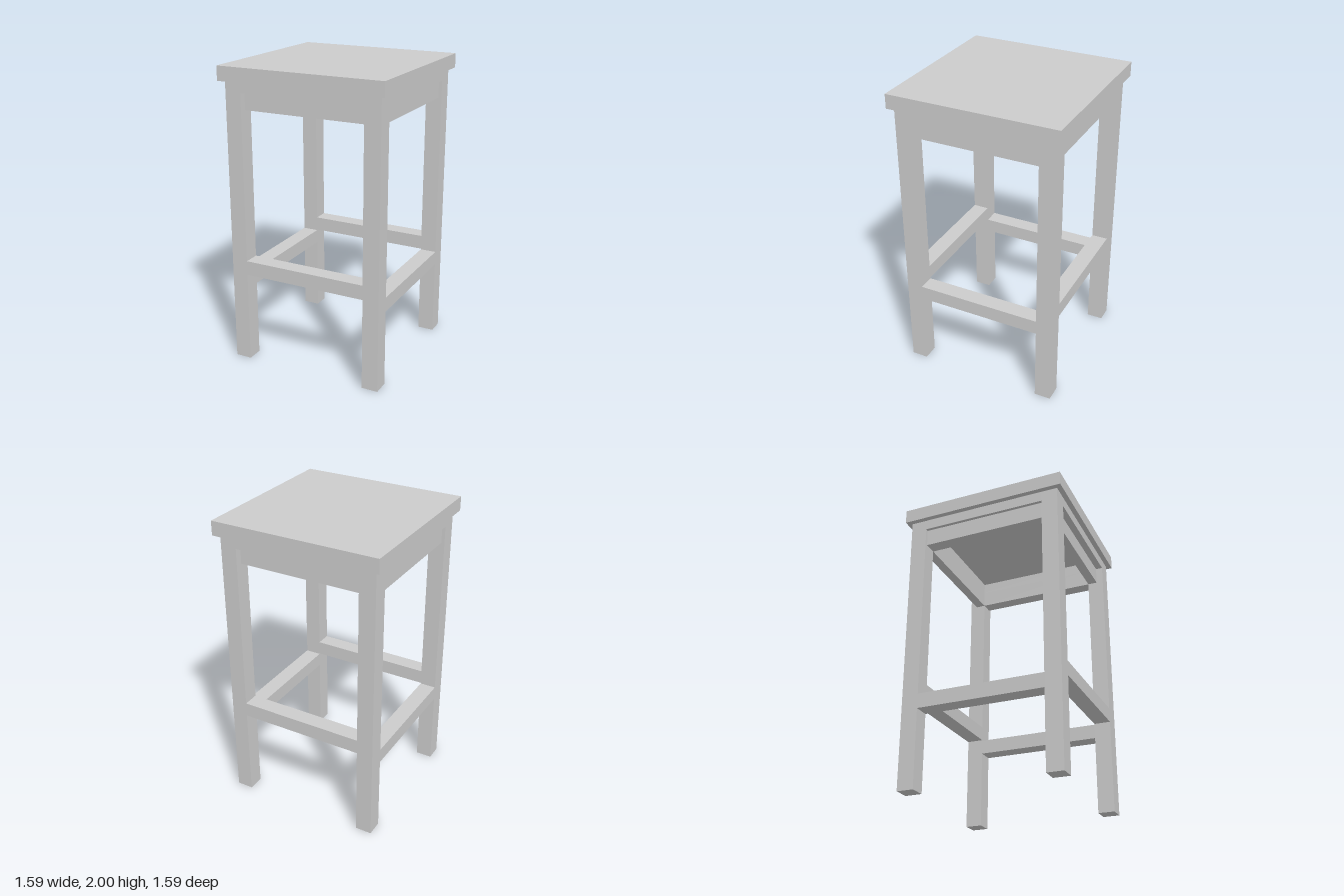
import * as THREE from 'three';

const SEAT = 1.135, SEAT_Y = 1.905;      // seat width and underside height
const OUT = 0.533, LEG = 0.11;           // outer face of the frame, leg thickness
const INNER = OUT - LEG;                 // inner face of the frame

export function createModel() {
  const model = new THREE.Group();
  model.name = 'stool';
  const material = new THREE.MeshStandardMaterial({ color: 0xcccccc, flatShading: true });

  // Box given by its min and max on each axis
  const box = (name, parent, [x0, x1], [y0, y1], [z0, z1]) => {
    const mesh = new THREE.Mesh(new THREE.BoxGeometry(x1 - x0, y1 - y0, z1 - z0), material);
    mesh.position.set((x0 + x1) / 2, (y0 + y1) / 2, (z0 + z1) / 2);
    mesh.name = name;
    parent.add(mesh);
  };

  box('seat', model, [-SEAT / 2, SEAT / 2], [SEAT_Y, 2], [-SEAT / 2, SEAT / 2]);

  // Four sides, each with a leg, top rail, recessed apron and stretcher
  for (let i = 0; i < 4; i++) {
    const side = new THREE.Group();
    side.name = 'side' + (i + 1);
    side.rotation.y = i * Math.PI / 2;
    const even = i % 2 === 0;
    const recess = even ? 0.046 : 0.022;
    const stretcherY = even ? 0.62 : 0.518;
    const span = [-INNER, INNER];

    box('leg', side, [INNER, OUT], [0, SEAT_Y], [INNER, OUT]);
    box('topRail', side, span, [1.835, SEAT_Y], [INNER, OUT]);
    box('apron', side, span, [1.72, 1.835], [INNER, OUT - recess]);
    box('stretcher', side, span, [stretcherY, stretcherY + 0.097], [INNER, OUT]);
    model.add(side);
  }

  // The whole stool stands turned on its vertical axis
  model.rotation.y = -0.632;
  const root = new THREE.Group();
  root.add(model);
  return root;
}
